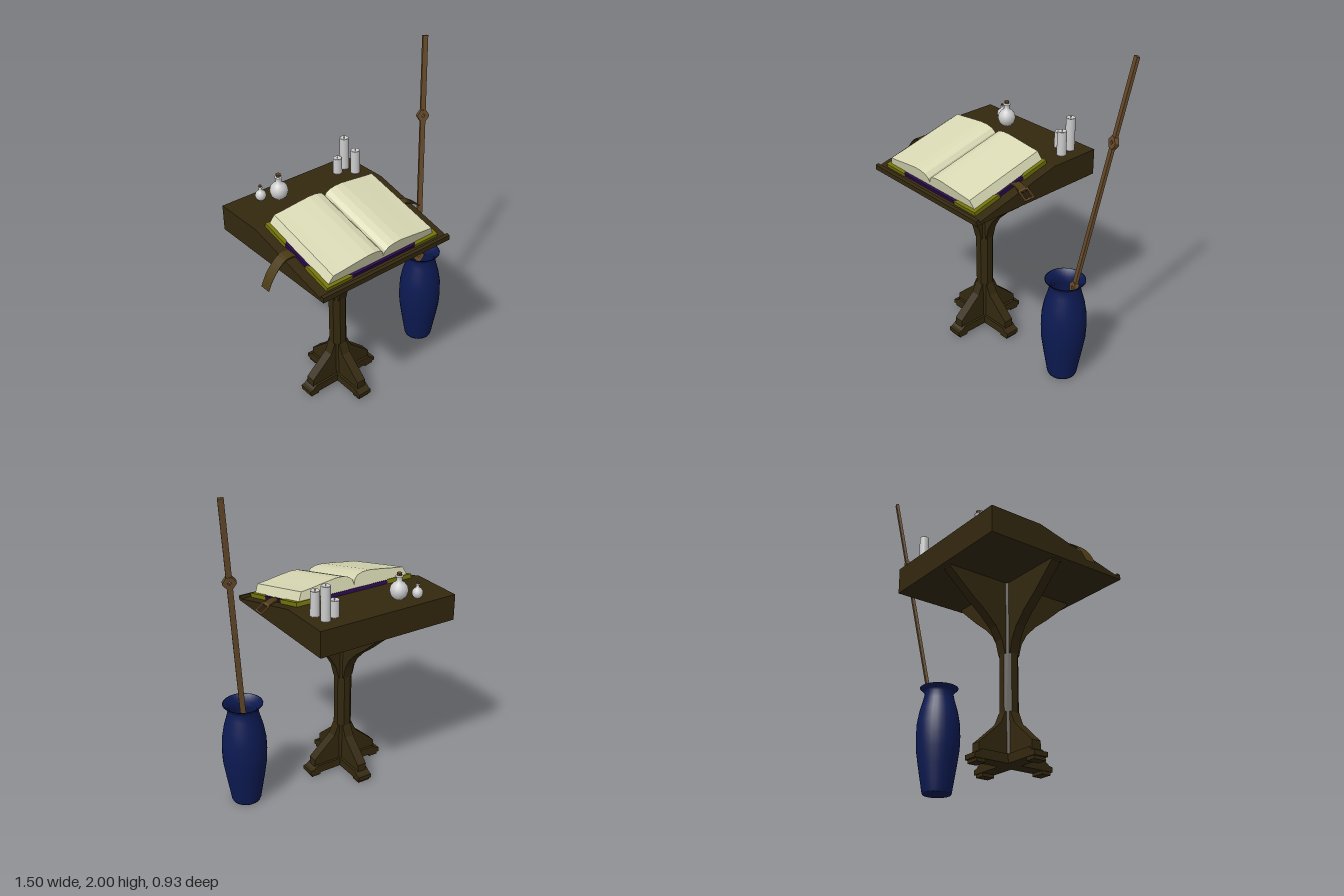
import * as THREE from 'three';

const mat = (color) => new THREE.MeshStandardMaterial({ color, flatShading: true, side: THREE.DoubleSide });
const smooth = (color) => new THREE.MeshStandardMaterial({ color, side: THREE.DoubleSide });
const WOOD = mat(0x33280f), STAFF = mat(0x664a2a), PAGE = mat(0xd8d8b4), PURPLE = mat(0x2a0a4c);
const GOLD = mat(0x74740a), LEATHER = mat(0x4a3a14), GREY = smooth(0xcccccc), VASE = smooth(0x0c1a52);

const v2 = (pts) => pts.map(([x, y]) => new THREE.Vector2(x, y));

function add(parent, name, geometry, material, x = 0, y = 0, z = 0) {
  const mesh = new THREE.Mesh(geometry, material);
  mesh.name = name;
  mesh.position.set(x, y, z);
  parent.add(mesh);
  return mesh;
}

function group(parent, name, x = 0, y = 0, z = 0) {
  const g = new THREE.Group();
  g.name = name;
  g.position.set(x, y, z);
  parent.add(g);
  return g;
}

// Outline in xy, extruded along z and centred on z = 0
function slab(pts, depth, hole) {
  const shape = new THREE.Shape(v2(pts));
  if (hole) shape.holes.push(new THREE.Path(v2(hole)));
  return new THREE.ExtrudeGeometry(shape, { depth, bevelEnabled: false }).translate(0, 0, -depth / 2);
}

// Thin ribbon following a path in xy
function ribbon(pts, width, thick = 0.008) {
  const curve = new THREE.SplineCurve(v2(pts)).getPoints(12).map((p) => [p.x, p.y]);
  return slab([...curve, ...curve.slice().reverse().map(([x, y]) => [x - thick * 0.4, y - thick])], width);
}

function buildPedestal(root) {
  const g = group(root, 'pedestal', -0.17);
  const post = new THREE.CylinderGeometry(0.055, 0.055, 1.07, 8).rotateY(Math.PI / 8);
  add(g, 'post', post, WOOD, 0, 0.56, 0);
  const brace = slab([[0, 1.1], [0.43, 1.1], [0.43, 1.08], [0.35, 1.01], [0.27, 0.94],
    [0.18, 0.87], [0.11, 0.8], [0.07, 0.73], [0.05, 0.65], [0, 0.65]], 0.06);
  const buttress = slab([[0, 0.31], [0.05, 0.31], [0.08, 0.24], [0.225, 0.11], [0.225, 0.05], [0, 0.05]], 0.06);
  const foot = slab([[0, 0.07], [0.215, 0.07], [0.24, 0.05], [0.262, 0.045], [0.262, 0.018], [0, 0.018]], 0.09);
  for (let i = 0; i < 4; i++) {
    const arm = group(g, 'pedestalArm');
    arm.rotation.y = i * Math.PI / 2;
    add(arm, 'brace', brace, WOOD);
    add(arm, 'buttress', buttress, WOOD);
    add(arm, 'foot', foot, WOOD);
    add(arm, 'footPad', new THREE.BoxGeometry(0.06, 0.02, 0.08), WOOD, 0.22, 0.01, 0);
  }
}

function buildDesk(root) {
  // Side profile in (z, y): level shelf at the back, sloping reading surface, front lip
  const body = slab([[-0.465, 1.09], [0.46, 1.09], [0.46, 1.12], [0.44, 1.125], [0.435, 1.106],
    [-0.13, 1.25], [-0.465, 1.25]], 0.92);
  add(root, 'deskTop', body, WOOD, -0.17).rotation.y = -Math.PI / 2;
}

function buildBook(root) {
  const g = group(root, 'openBook', -0.17, 1.18, 0.143);
  g.rotation.x = 0.25;
  add(g, 'cover', new THREE.BoxGeometry(0.79, 0.022, 0.55), PURPLE, 0, 0.012, 0);
  const pages = [[0, 0], [0, 0.018], [0.008, 0.05], [0.03, 0.072], [0.07, 0.083], [0.12, 0.084],
    [0.2, 0.074], [0.29, 0.061], [0.355, 0.054], [0.38, 0]];
  for (const s of [-1, 1]) {
    add(g, 'pageBlock', slab(pages.map(([x, y]) => [s * x, y]), 0.53), PAGE, 0, 0.023, -0.005);
    for (const t of [-1, 1]) {
      // Triangular corner guard
      const corner = slab([[s * 0.402, t * 0.28], [s * 0.225, t * 0.28], [s * 0.402, t * 0.09]], 0.027);
      add(g, 'coverCorner', corner.rotateX(Math.PI / 2), GOLD, 0, 0.0125, 0);
    }
  }
}

function buildStraps(root) {
  const left = [[-0.55, 1.195], [-0.62, 1.2], [-0.67, 1.17], [-0.72, 1.11], [-0.75, 1.05]];
  add(root, 'longStrap', ribbon(left, 0.07), LEATHER, 0, 0, 0.11);
  add(root, 'shortStrap', ribbon([[0.2, 1.205], [0.25, 1.21], [0.3, 1.185]], 0.055), LEATHER, 0, 0, 0.115);
  const a = 0.036, b = 0.026;
  const frame = slab([[-a, -a], [a, -a], [a, a], [-a, a]], 0.008, [[-b, -b], [-b, b], [b, b], [b, -b]]);
  const buckle = group(root, 'buckle', 0.318, 1.172, 0.115);
  buckle.rotation.z = -0.6;
  add(buckle, 'buckleFrame', frame.rotateX(Math.PI / 2), STAFF);
  add(buckle, 'bucklePin', new THREE.BoxGeometry(0.07, 0.006, 0.006), STAFF);
}

function buildCandles(root) {
  for (const [x, z, h] of [[0.12, -0.34, 0.1], [0.19, -0.36, 0.205], [0.205, -0.275, 0.15]]) {
    const g = group(root, 'candle', x, 1.25, z);
    const profile = [[0, 0], [0.029, 0], [0.029, 0.004], [0.028, h - 0.004], [0.026, h], [0.022, h - 0.002], [0, h - 0.006]];
    add(g, 'wax', new THREE.LatheGeometry(v2(profile), 16), GREY);
    add(g, 'wick', new THREE.CylinderGeometry(0.002, 0.002, 0.016, 6), GREY, 0, h, 0);
  }
}

function buildFlasks(root) {
  for (const [x, z, s] of [[-0.325, -0.33, 1], [-0.42, -0.38, 0.6]]) {
    const g = group(root, 'flask', x, 1.25, z);
    g.scale.setScalar(s);
    const profile = [[0, 0], [0.03, 0], [0.046, 0.016], [0.055, 0.045], [0.05, 0.072], [0.034, 0.093],
      [0.018, 0.104], [0.016, 0.128], [0.022, 0.132], [0.022, 0.138], [0.014, 0.14]];
    add(g, 'glass', new THREE.LatheGeometry(v2(profile), 20), GREY);
    add(g, 'cork', new THREE.CylinderGeometry(0.015, 0.013, 0.025, 10), STAFF, 0, 0.143, 0);
  }
}

function buildVase(root) {
  const profile = [[0, 0], [0.086, 0], [0.09, 0.01], [0.1, 0.07], [0.117, 0.17], [0.132, 0.27], [0.135, 0.35],
    [0.132, 0.43], [0.118, 0.51], [0.098, 0.58], [0.088, 0.625], [0.098, 0.64], [0.12, 0.662],
    [0.112, 0.662], [0.08, 0.625], [0.09, 0.58], [0.11, 0.51], [0.124, 0.42], [0.122, 0.27], [0.09, 0.07], [0, 0.03]];
  add(root, 'vase', new THREE.LatheGeometry(v2(profile), 28), VASE, 0.53);
}

function buildStaff(root) {
  const start = new THREE.Vector3(0.505, 0.2, 0.003), end = new THREE.Vector3(0.73, 1.997, -0.25);
  const up = end.clone().sub(start), length = up.length();
  up.normalize();
  // Local x is the broad direction of the board
  const wide = new THREE.Vector3(0.93, 0, 0.37);
  wide.addScaledVector(up, -wide.dot(up)).normalize();
  const g = group(root, 'staff', start.x, start.y, start.z);
  g.quaternion.setFromRotationMatrix(new THREE.Matrix4().makeBasis(wide, up, wide.clone().cross(up)));
  const knotHeights = [0.4, 1.34];
  const shaft = (y0, y1) => add(g, 'shaft', new THREE.BoxGeometry(0.032, y1 - y0, 0.018), STAFF, 0, (y0 + y1) / 2, 0);
  shaft(0, knotHeights[0] - 0.02);
  shaft(knotHeights[0] + 0.02, knotHeights[1] - 0.02);
  shaft(knotHeights[1] + 0.02, length);
  // Pierced diamond knots
  const r = 0.012;
  const knot = slab([[-0.016, -0.035], [0.016, -0.035], [0.038, -0.004], [0.038, 0.004], [0.016, 0.035],
    [-0.016, 0.035], [-0.038, 0.004], [-0.038, -0.004]], 0.026, [[-r, 0], [0, r], [r, 0], [0, -r]]);
  for (const y of knotHeights) add(g, 'knot', knot, STAFF, 0, y, 0);
}

export function createModel() {
  const root = new THREE.Group();
  root.name = 'lecternWithVase';
  buildPedestal(root);
  buildDesk(root);
  buildBook(root);
  buildStraps(root);
  buildCandles(root);
  buildFlasks(root);
  buildVase(root);
  buildStaff(root);
  return root;
}
